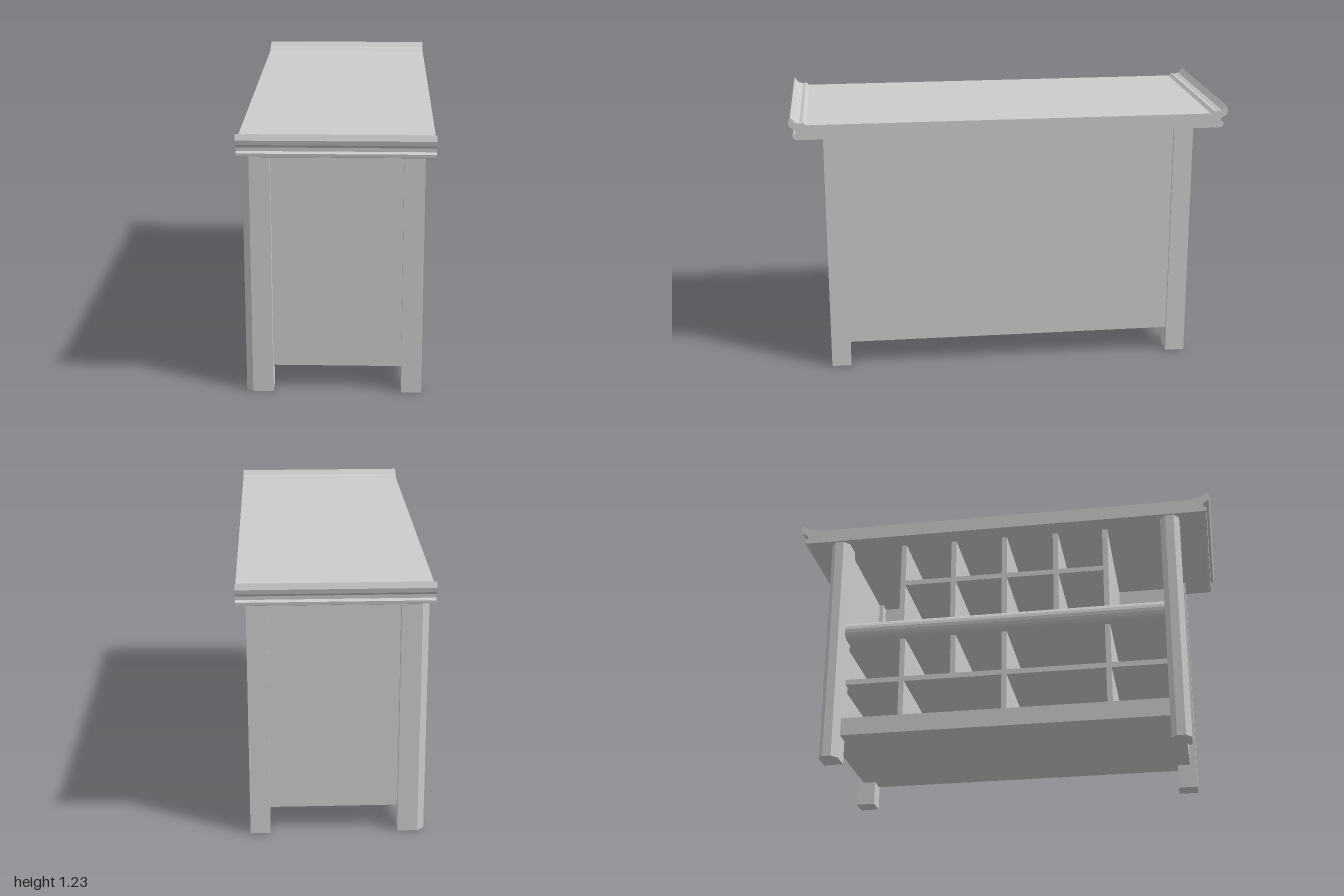
import * as THREE from 'three';

const material = new THREE.MeshStandardMaterial({ color: 0xcccccc, flatShading: true });

export function createModel() {
  const model = new THREE.Group();

  const add = (name, geometry) => {
    const mesh = new THREE.Mesh(geometry, material);
    mesh.name = name;
    model.add(mesh);
    return mesh;
  };

  // Box given by its lower and upper corners
  const box = (name, [x0, y0, z0], [x1, y1, z1]) =>
    add(name, new THREE.BoxGeometry(x1 - x0, y1 - y0, z1 - z0)
      .translate((x0 + x1) / 2, (y0 + y1) / 2, (z0 + z1) / 2));

  const extrude = (points, depth) =>
    new THREE.ExtrudeGeometry(
      new THREE.Shape(points.map(([a, b]) => new THREE.Vector2(a, b))),
      { depth, bevelEnabled: false });

  const floor = 0.115, bottomTop = 0.2, midBottom = 0.61, midTop = 0.69, ceiling = 1.12;
  const legIn = 0.76, legOut = 0.85;
  const front = -0.32, back = 0.34;

  // Worktop: moulded end profile (z, y), mirrored, swept across the width
  const lip = [
    [0.965, 1.12], [0.98, 1.126], [0.982, 1.14], [0.967, 1.147], [0.968, 1.163],
    [0.98, 1.172], [0.995, 1.18], [1, 1.2], [0.99, 1.225],
    [0.97, 1.202], [0.95, 1.195], [0.935, 1.2], [0.92, 1.187],
  ];
  const mirrored = lip.map(([z, y]) => [-z, y]).reverse();
  add('worktop', extrude([...lip, ...mirrored], 0.83)
    .rotateY(-Math.PI / 2).translate(0.415, 0, 0));

  // Legs: square at the closed side, chamfered at the open side
  for (const s of [-1, 1]) {
    const z0 = s > 0 ? legIn : -legOut;
    box('closedSideLeg', [0.285, 0, z0], [0.375, ceiling, z0 + 0.09]);
    const section = [
      [-0.285, 0], [-0.285, 0.09], [-0.375, 0.09],
      [-0.405, 0.065], [-0.405, 0.025], [-0.375, 0],
    ];
    add('openSideLeg', extrude(section, ceiling)
      .rotateX(-Math.PI / 2).translate(0, 0, z0 + 0.09));

    // End panels, set back a little from the legs
    const e0 = s > 0 ? 0.78 : -0.82;
    box('endPanel', [-0.32, floor, e0], [0.36, ceiling, e0 + 0.04]);
  }

  // Carcass
  box('backPanel', [back, floor, -0.8], [0.363, ceiling, 0.8]);
  box('bottomBoard', [-0.36, floor, -legIn], [back, bottomTop, legIn]);
  for (const s of [-1, 1]) {
    const z0 = s > 0 ? legIn : -0.8;
    box('bottomBoardEnd', [-0.3, floor, z0], [back, bottomTop, z0 + 0.04]);
  }
  box('middleBoard', [front, midBottom, -0.79], [back, midTop, 0.79]);

  // Rounded rail along the edge of the middle board
  const rail = [[front, midBottom], [front, midTop]];
  for (let i = 0; i <= 8; i++) {
    const a = Math.PI / 2 + (Math.PI * i) / 8;
    rail.push([-0.345 + 0.035 * Math.cos(a), 0.65 + 0.04 * Math.sin(a)]);
  }
  add('middleRail', extrude(rail, 2 * legIn).translate(0, 0, -legIn));

  // Dividers and shelves
  const t = 0.0125;
  const divider = (z, y0, y1) => box('divider', [front, y0, z - t], [back, y1, z + t]);
  const shelf = (y, z0, z1) => box('shelf', [front, y - t, z0], [back, y + t, z1]);

  const upper = [-0.5, -0.25, 0, 0.25, 0.49];
  upper.forEach((z) => divider(z, midTop, ceiling));
  for (let i = 0; i < 4; i++) shelf(0.91, upper[i] + t, upper[i + 1] - t);

  const lower = [-0.49, 0, 0.49];
  lower.forEach((z) => divider(z, bottomTop, midBottom));
  const ends = [-0.78 - t, ...lower, 0.78 + t];
  for (let i = 0; i < 4; i++) shelf(0.4, ends[i] + t, ends[i + 1] - t);
  divider(-0.245, 0.4 + t, midBottom);

  return model;
}
